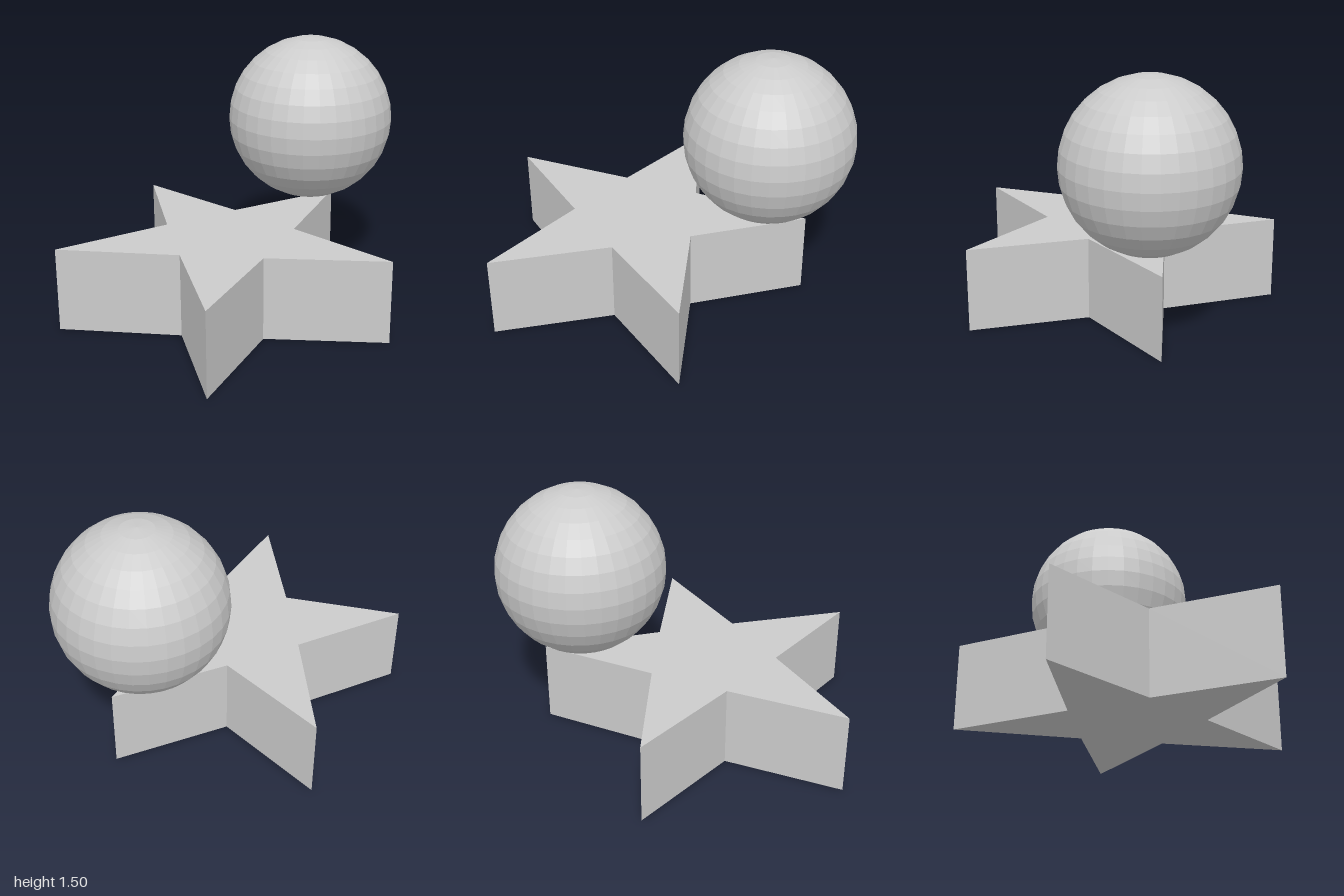
import * as THREE from 'three';

const material = new THREE.MeshStandardMaterial({ color: 0xcccccc, flatShading: true });

// Upright prism with a five-pointed star outline, one tip pointing to the back
function starGeometry(outer, inner, height) {
  const points = [];
  for (let i = 0; i < 10; i++) {
    const r = i % 2 ? inner : outer;
    const a = (i * Math.PI) / 5;
    points.push(new THREE.Vector2(r * Math.sin(a), r * Math.cos(a)));
  }
  const geometry = new THREE.ExtrudeGeometry(new THREE.Shape(points), { depth: height, bevelEnabled: false });
  return geometry.rotateX(-Math.PI / 2);
}

export function createModel() {
  const model = new THREE.Group();

  // Star-shaped base slab
  const star = new THREE.Mesh(starGeometry(0.967, 0.387, 0.485), material);
  star.name = 'starBase';
  star.position.z = 0.217;
  model.add(star);

  // Faceted ball floating above the back tip
  const ball = new THREE.Mesh(new THREE.SphereGeometry(0.483, 32, 16), material);
  ball.name = 'ball';
  ball.position.set(0, 1.022, -0.517);
  model.add(ball);

  return model;
}
